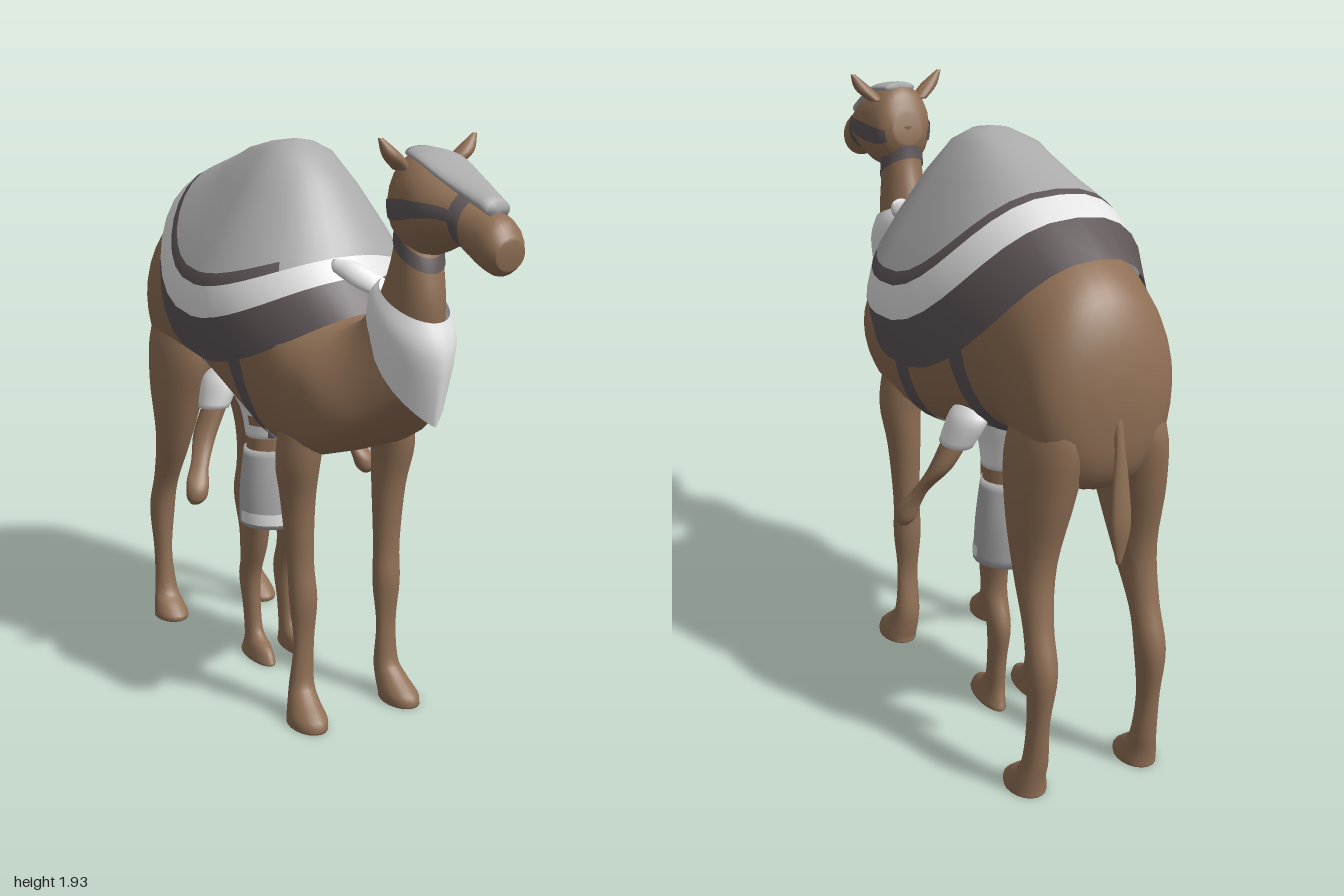
import * as THREE from 'three';

const material = (name, color) => {
  const m = new THREE.MeshStandardMaterial({ color, side: THREE.DoubleSide });
  m.name = name;
  return m;
};

// Ring: [z1, y1, z2, y2, halfWidth, centreX, p]; z1,y1 and z2,y2 are opposite ends in the side plane.
// p shapes the half towards the first end: below 1 boxy, above 1 pointed.
const full = r => [r[0], r[1], r[2], r[3], r[4], r[5] ?? 0, r[6] ?? 1];

// Smooth interpolation of the rings at a fractional index.
function ringAt(rings, t) {
  const last = rings.length - 1, i = Math.min(Math.floor(t), last - 1), f = t - i;
  const [a, b, c, d] = [i - 1, i, i + 1, i + 2].map(k => full(rings[THREE.MathUtils.clamp(k, 0, last)]));
  return b.map((p, k) => p + 0.5 * f * (c[k] - a[k] + f * (2 * a[k] - 5 * p + 4 * c[k] - d[k]
    + f * (3 * (p - c[k]) + d[k] - a[k]))));
}

// Skin over rings, or over a part of them between t0..t1 and a0..a1 (turned by skew along the way).
function loft(rings, { t0 = 0, t1 = rings.length - 1, a0 = 0, a1 = Math.PI * 2, skew = 0, scale = 1, n = 20, cap = true } = {}) {
  const closed = a1 - a0 > 6.28, cols = closed ? n : n + 1;
  const rows = Math.max(2, Math.ceil((t1 - t0) * 4));
  const pos = [], index = [], middle = new THREE.Vector3();
  for (let i = 0; i <= rows; i++) {
    const [z1, y1, z2, y2, w, cx, p] = ringAt(rings, t0 + (t1 - t0) * i / rows);
    const y = (y1 + y2) / 2, z = (z1 + z2) / 2;
    middle.add(new THREE.Vector3(cx, y, z).divideScalar(rows + 1));
    for (let j = 0; j < cols; j++) {
      const a = a0 + (a1 - a0) * j / n + skew * i / rows, c = Math.cos(a), s = Math.sin(a) * scale;
      pos.push(cx + Math.sign(c) * Math.abs(c) ** (s < 0 ? p : 1) * w * scale, y + s * (y2 - y1) / 2, z + s * (z2 - z1) / 2);
    }
  }
  for (let i = 0; i < rows; i++) for (let j = 0; j < n; j++) {
    const k = closed ? (j + 1) % n : j + 1;
    const a = i * cols + j, b = i * cols + k, c = a + cols, d = b + cols;
    index.push(a, b, d, a, d, c);
  }
  if (cap && closed) for (const i of [0, rows]) {
    const [z1, y1, z2, y2, , cx] = ringAt(rings, i ? t1 : t0), centre = pos.length / 3;
    pos.push(cx, (y1 + y2) / 2, (z1 + z2) / 2);
    for (let j = 0; j < n; j++) {
      const a = i * cols + j, b = i * cols + (j + 1) % n;
      index.push(...(i ? [a, b, centre] : [b, a, centre]));
    }
  }
  // Turn all faces outwards.
  const v = k => new THREE.Vector3().fromArray(pos, k * 3).sub(middle);
  let volume = 0;
  for (let i = 0; i < index.length; i += 3) volume += v(index[i]).cross(v(index[i + 1])).dot(v(index[i + 2]));
  if (volume < 0) index.reverse();
  const g = new THREE.BufferGeometry();
  g.setAttribute('position', new THREE.Float32BufferAttribute(pos, 3));
  g.setIndex(index);
  g.computeVertexNormals();
  return g;
}

// Draped saddle cloth: front, side and rear profiles blended around the hump.
function drape() {
  const front = [[0, 1.86], [.06, 1.85], [.12, 1.81], [.2, 1.74], [.28, 1.63], [.33, 1.55], [.345, 1.53], [.39, 1.47], [.47, 1.375]];
  const side = [[0, 1.86], [.06, 1.85], [.12, 1.82], [.2, 1.71], [.29, 1.57], [.355, 1.46], [.37, 1.42], [.385, 1.32], [.345, 1.175]];
  const rear = [[0, 1.86], [.1, 1.845], [.2, 1.82], [.3, 1.785], [.38, 1.76], [.42, 1.745], [.45, 1.735], [.55, 1.69], [.67, 1.6]];
  const n = 40, pos = [], index = [], g = new THREE.BufferGeometry();
  for (let k = 0; k < side.length; k++) for (let j = 0; j < n; j++) {
    const a = j / n * Math.PI * 2, s = Math.sin(a), c = Math.cos(a);
    const end = c > 0 ? front : rear, p = c > 0 ? 1 : .82;
    pos.push(Math.sign(s) * Math.abs(s) ** p * side[k][0], end[k][1] * c * c + side[k][1] * s * s,
      -.15 + Math.sign(c) * Math.abs(c) ** p * end[k][0]);
  }
  for (let k = 0; k < side.length - 1; k++) for (let j = 0; j < n; j++) {
    const a = k * n + j, b = k * n + (j + 1) % n;
    // The thin stripe stops short of the front.
    const stripe = Math.cos((j + .5) / n * Math.PI * 2) > .8 ? 0 : 1;
    g.addGroup(index.length, 6, [0, 0, 0, 0, 0, stripe, 2, 1][k]);
    index.push(a, a + n, b + n, a, b + n, b);
  }
  g.setAttribute('position', new THREE.Float32BufferAttribute(pos, 3));
  g.setIndex(index);
  g.computeVertexNormals();
  return g;
}

export function createModel() {
  const model = new THREE.Group();
  const brown = material('brown hide', 0x8f6f55), grey = material('grey cloth', 0xababab);
  const white = material('white cloth', 0xe4e4e4), dark = material('dark trim', 0x5f5658);
  const add = (name, geometry, mat) => {
    const mesh = new THREE.Mesh(geometry, mat);
    mesh.name = name;
    model.add(mesh);
  };
  // One part on each side.
  const pair = (name, rings, mat) => {
    for (const s of [1, -1])
      add((s > 0 ? 'left ' : 'right ') + name, loft(rings.map(r => full(r).map((v, k) => k === 5 ? v * s : v))), mat);
  };

  // Body and neck
  const body = [
    [-.962, 1.2, -.957, 1.3, .05], [-.945, 1.05, -.93, 1.42, .145, 0, .85], [-.88, .96, -.87, 1.53, .215, 0, .75],
    [-.75, .98, -.75, 1.61, .24, 0, .7], [-.58, 1.03, -.56, 1.67, .25, 0, .8], [-.4, .965, -.34, 1.73, .275, 0, .9],
    [-.12, .89, -.22, 1.76, .285, 0, .8], [.08, .88, -.04, 1.67, .28, 0, .6], [.25, .92, .17, 1.42, .265, 0, .45],
    [.4, 1, .28, 1.355, .235, 0, .45], [.52, 1.11, .36, 1.385, .155, 0, .65], [.61, 1.24, .42, 1.47, .1],
    [.655, 1.42, .46, 1.56, .078], [.64, 1.55, .49, 1.65, .07], [.62, 1.62, .5, 1.76, .07]];
  add('body and neck', loft(body, { n: 32 }), brown);
  for (const [name, t0, t1, scale] of [['front girth strap', 6.2, 6.7, 1.015], ['rear girth strap', 4.4, 4.8, 1.015], ['throat collar', 13, 13.5, 1.06]])
    add(name, loft(body, { t0, t1, scale, n: 32, cap: false }), dark);

  // Head, ears, bridle and forehead cloth
  const head = [
    [.49, 1.7, .51, 1.8, .05], [.53, 1.62, .55, 1.88, .095], [.64, 1.6, .62, 1.89, .12],
    [.72, 1.63, .72, 1.85, .122], [.82, 1.65, .8, 1.81, .09], [.89, 1.61, .89, 1.77, .075],
    [.95, 1.59, .96, 1.74, .067], [.985, 1.61, .995, 1.69, .045]];
  add('head', loft(head), brown);
  add('noseband', loft(head, { t0: 4.15, t1: 4.6, scale: 1.03, cap: false }), dark);
  add('left cheek strap', loft(head, { t0: .6, t1: 4.3, a0: -.42, a1: -.02, skew: .42, scale: 1.035, n: 4 }), dark);
  add('right cheek strap', loft(head, { t0: .6, t1: 4.3, a0: Math.PI + .02, a1: Math.PI + .42, skew: -.42, scale: 1.035, n: 4 }), dark);
  add('forehead cloth', loft([[.56, 1.865, .56, 1.9, .05], [.66, 1.85, .66, 1.89, .075],
    [.78, 1.8, .78, 1.845, .065], [.93, 1.74, .93, 1.79, .038]]), grey);
  pair('ear', [[.62, 1.84, .56, 1.84, .025, .08], [.63, 1.88, .575, 1.88, .03, .12], [.605, 1.93, .595, 1.93, .008, .158]], brown);

  // Neck scarf with knotted tails
  add('neck scarf', loft([[.67, 1.41, .42, 1.51, .092], [.7, 1.3, .385, 1.49, .115, 0, 1.2], [.665, 1.1, .37, 1.46, .115, 0, 1.8]], { cap: false, n: 28 }), white);
  pair('scarf tail', [[.45, 1.44, .42, 1.5, .025, .03], [.38, 1.47, .36, 1.545, .03, .085], [.32, 1.51, .31, 1.55, .012, .13]], white);

  // Saddle cloth
  add('saddle cloth', drape(), [grey, dark, white]);

  // Legs and tail
  pair('front leg', [
    [.25, 1.2, .1, 1.18, .04, .12], [.265, 1.03, .08, 1.0, .065, .158], [.255, .9, .09, .88, .068, .178], [.22, .75, .1, .75, .055, .172],
    [.205, .55, .12, .55, .045, .165], [.215, .42, .13, .4, .047, .16], [.2, .28, .15, .26, .036, .16],
    [.205, .14, .13, .12, .042, .165], [.24, .09, .135, .05, .05, .172], [.31, .035, .14, .02, .06, .178],
    [.32, 0, .14, 0, .06, .18]], brown);
  pair('hind leg', [
    [-.68, 1.3, -.85, 1.32, .05, .1], [-.61, 1.06, -.94, 1.14, .1, .123], [-.65, .88, -.92, .95, .09, .148],
    [-.72, .68, -.87, .74, .06, .165], [-.8, .52, -.885, .57, .045, .175], [-.825, .4, -.93, .42, .045, .18],
    [-.83, .24, -.91, .26, .033, .185], [-.81, .1, -.895, .12, .04, .185], [-.76, .055, -.885, .06, .05, .19],
    [-.72, .02, -.88, .02, .06, .19], [-.72, 0, -.88, 0, .06, .19]], brown);
  add('tail', loft([[-.93, 1.18, -.955, 1.22, .015], [-.955, 1.1, -.975, 1.12, .015], [-.965, 1, -.99, 1, .025],
    [-.97, .88, -1, .88, .03], [-.975, .77, -.985, .77, .008]]), brown);

  // Person standing under the belly
  const shirt = [[-.23, .83, -.4, .83, .1], [-.21, .93, -.43, .93, .115], [-.24, 1.05, -.45, 1.05, .17], [-.3, 1.08, -.41, 1.08, .14]];
  const shorts = [[-.23, .785, -.41, .785, .105], [-.21, .65, -.43, .65, .12], [-.2, .51, -.43, .51, .125]];
  add('shirt', loft(shirt), white);
  add('shirt hem', loft(shirt, { t0: .1, t1: .45, a0: -2.2, a1: -.94, scale: 1.02 }), dark);
  add('shirt opening', loft(shirt, { t0: .55, t1: .85, a0: -2.94, a1: -2.25, scale: 1.02, n: 6 }), brown);
  add('waist', loft([[-.235, .76, -.4, .76, .097], [-.235, .85, -.4, .85, .095]]), brown);
  add('shorts', loft(shorts), grey);
  add('shorts patch', loft(shorts, { t0: 1.55, t1: 1.85, a0: -3.2, a1: .06, scale: 1.015 }), white);
  pair('sleeve', [[-.32, 1.07, -.42, 1.07, .035, .16], [-.285, 1.03, -.455, 1.03, .055, .175], [-.29, .95, -.42, .94, .05, .21]], white);
  pair('arm', [[-.3, .97, -.4, .97, .04, .2], [-.29, .85, -.38, .87, .036, .255], [-.25, .76, -.32, .79, .028, .3],
    [-.215, .71, -.29, .73, .038, .325], [-.21, .67, -.275, .675, .034, .335], [-.23, .65, -.255, .65, .015, .34]], brown);
  pair('person leg', [[-.25, .55, -.4, .55, .045, .065], [-.28, .42, -.38, .42, .04, .068], [-.32, .3, -.42, .3, .036, .07],
    [-.32, .18, -.4, .18, .03, .07], [-.3, .09, -.39, .08, .03, .07], [-.23, .05, -.4, .035, .036, .072], [-.2, .01, -.41, .01, .04, .075],
    [-.2, 0, -.41, 0, .04, .075]], brown);
  return model;
}
